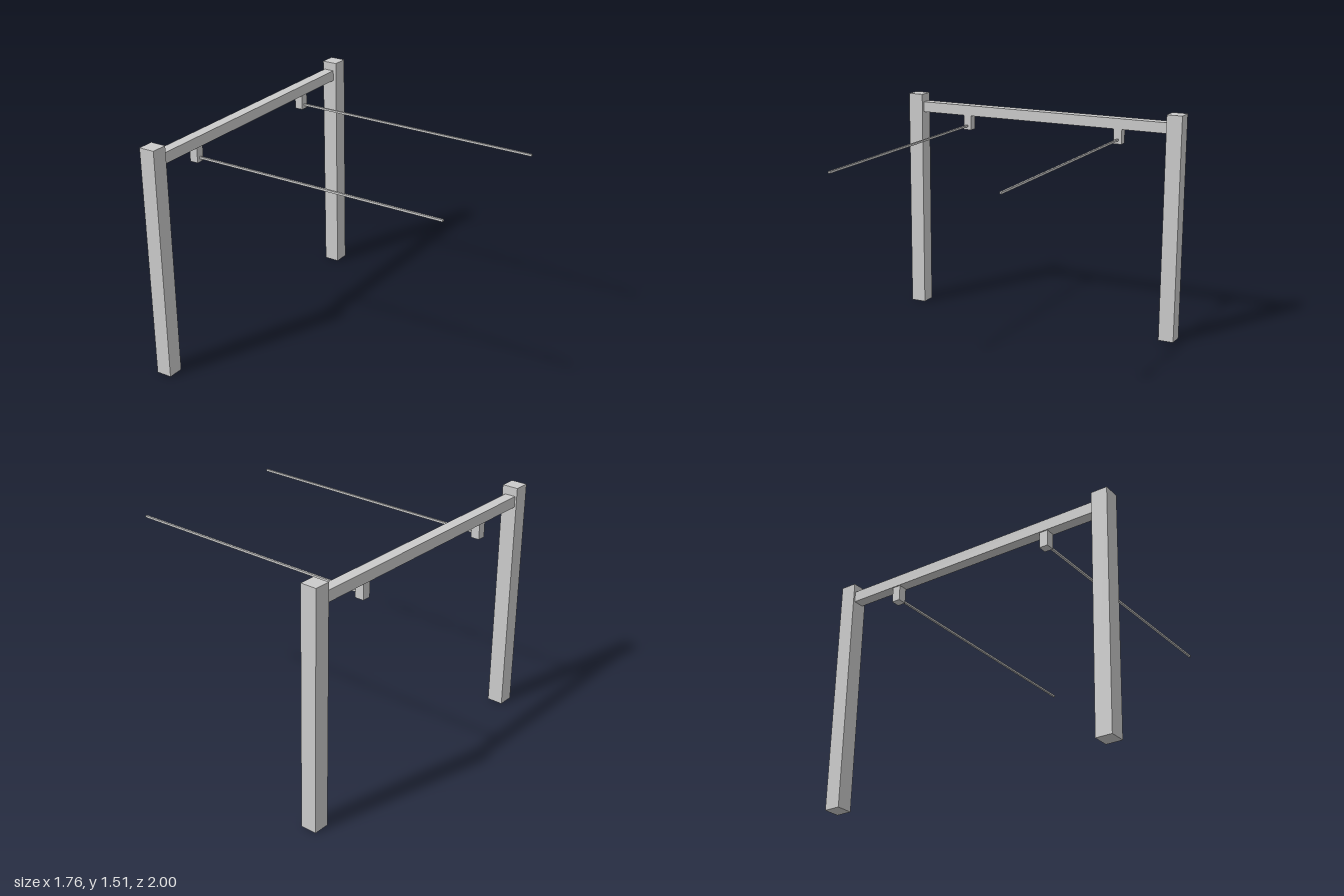
import * as THREE from 'three';

const material = new THREE.MeshStandardMaterial({ color: 0xcccccc, flatShading: true });

// Box given by its minimum and maximum on each axis
function box(name, [x0, x1], [y0, y1], [z0, z1]) {
  const mesh = new THREE.Mesh(new THREE.BoxGeometry(x1 - x0, y1 - y0, z1 - z0), material);
  mesh.name = name;
  mesh.position.set((x0 + x1) / 2, (y0 + y1) / 2, (z0 + z1) / 2);
  return mesh;
}

export function createModel() {
  const group = new THREE.Group();
  group.name = 'frame';

  // Cross beam between the posts
  group.add(box('beam', [-0.868, -0.798], [1.39, 1.46], [-0.896, 0.896]));

  for (const [label, s] of [['front', 1], ['back', -1]]) {
    const span = (centre, size) => [s * centre - size / 2, s * centre + size / 2];
    // Upright post
    group.add(box(label + 'Post', [-0.88, -0.776], [0, 1.515], span(0.948, 0.104)));
    // Bracket hanging under the beam
    group.add(box(label + 'Bracket', [-0.861, -0.805], [1.29, 1.39], span(0.555, 0.056)));
    // Thin rod reaching out from the bracket
    group.add(box(label + 'Rod', [-0.833, 0.88], [1.311, 1.324], span(0.555, 0.013)));
  }
  return group;
}
